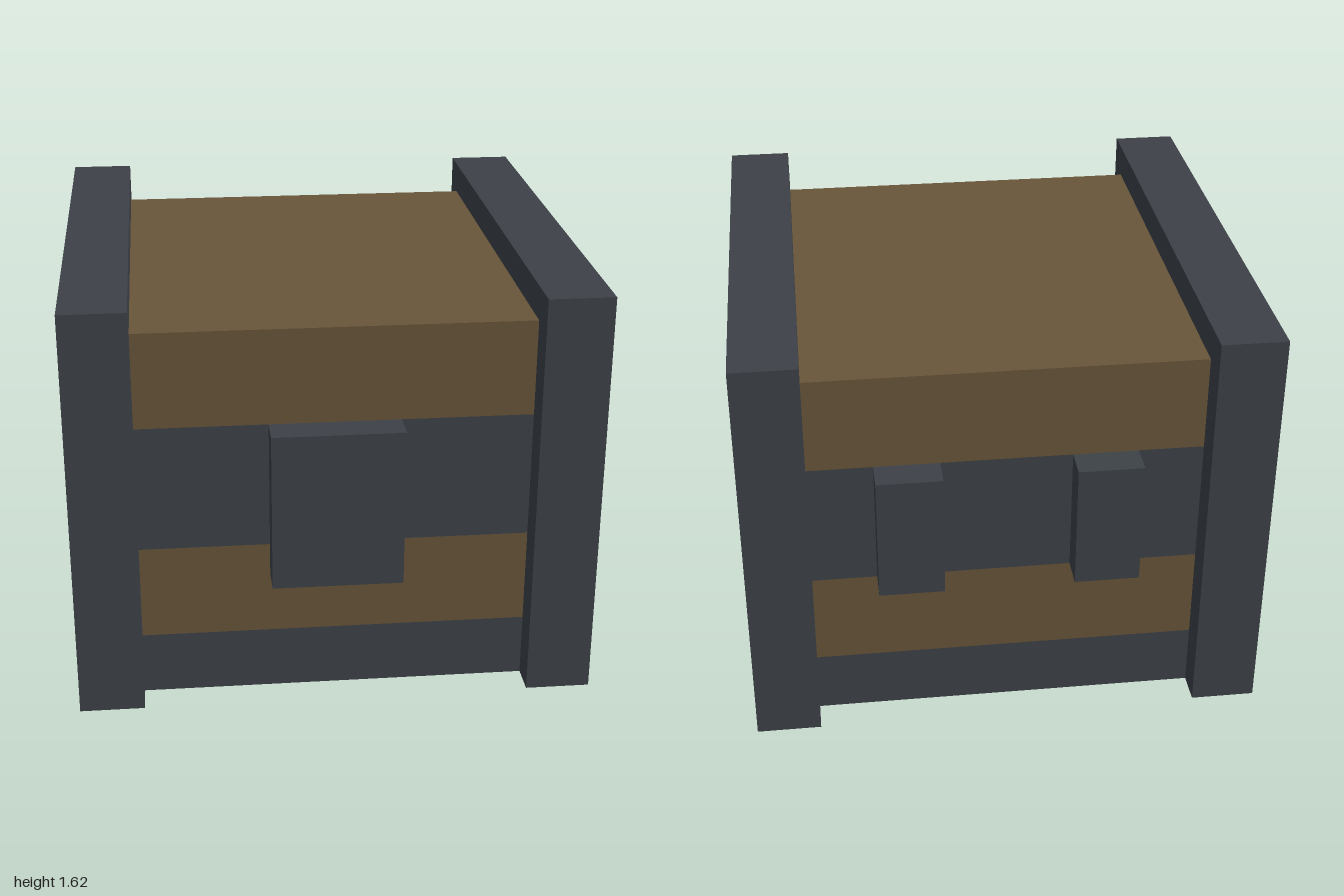
import * as THREE from 'three';

export function createModel() {
  const model = new THREE.Group();
  model.name = 'crate';

  const metal = new THREE.MeshStandardMaterial({ color: 0x3d4248 });
  metal.name = 'dark metal';
  const wood = new THREE.MeshStandardMaterial({ color: 0x68553a });
  wood.name = 'brown wood';

  const add = (name, geometry, material) => {
    const mesh = new THREE.Mesh(geometry, material);
    mesh.name = name;
    model.add(mesh);
    return mesh;
  };

  // Box given by its minimum and maximum corners
  const box = (name, material, x0, x1, y0, y1, z0, z1) => {
    const mesh = add(name, new THREE.BoxGeometry(x1 - x0, y1 - y0, z1 - z0), material);
    mesh.position.set((x0 + x1) / 2, (y0 + y1) / 2, (z0 + z1) / 2);
  };

  const shapeOf = (points) => new THREE.Shape(points.map(([x, y]) => new THREE.Vector2(x, y)));

  // Body: stacked bands of metal and wood
  const b = 0.875;
  const bands = [
    ['baseBand', metal, 0.125, 0.25],
    ['lowerPlanks', wood, 0.25, 0.625],
    ['middleBand', metal, 0.625, 1.125],
    ['lid', wood, 1.125, 1.5],
  ];
  for (const [name, material, y0, y1] of bands) box(name, material, -b, b, y0, y1, -b, b);

  // Foot of the body, with a small notch in its left side
  const plan = shapeOf([
    [-b, -b], [b, -b], [b, -0.5], [0.75, -0.5], [0.75, -0.375], [b, -0.375], [b, b], [-b, b],
  ]);
  const foot = new THREE.ExtrudeGeometry(plan, { depth: 0.125, bevelEnabled: false });
  foot.rotateX(-Math.PI / 2);
  add('notchedBase', foot, metal);

  // Side frames: two posts joined by a top beam
  const arch = shapeOf([
    [-1, 0], [-0.75, 0], [-0.75, 1.375], [0.75, 1.375], [0.75, 0], [1, 0], [1, 1.625], [-1, 1.625],
  ]);
  const frame = new THREE.ExtrudeGeometry(arch, { depth: 0.25, bevelEnabled: false });
  frame.rotateY(Math.PI / 2);
  add('leftFrame', frame, metal).position.x = 0.75;
  add('rightFrame', frame, metal).position.x = -1;

  // Front latch and the two back hinges
  box('latch', metal, -0.25, 0.25, 0.5, 1.125, b, 1);
  box('leftHinge', metal, 0.25, 0.5, 0.625, 1.125, -1, -b);
  box('rightHinge', metal, -0.5, -0.25, 0.625, 1.125, -1, -b);

  return model;
}
